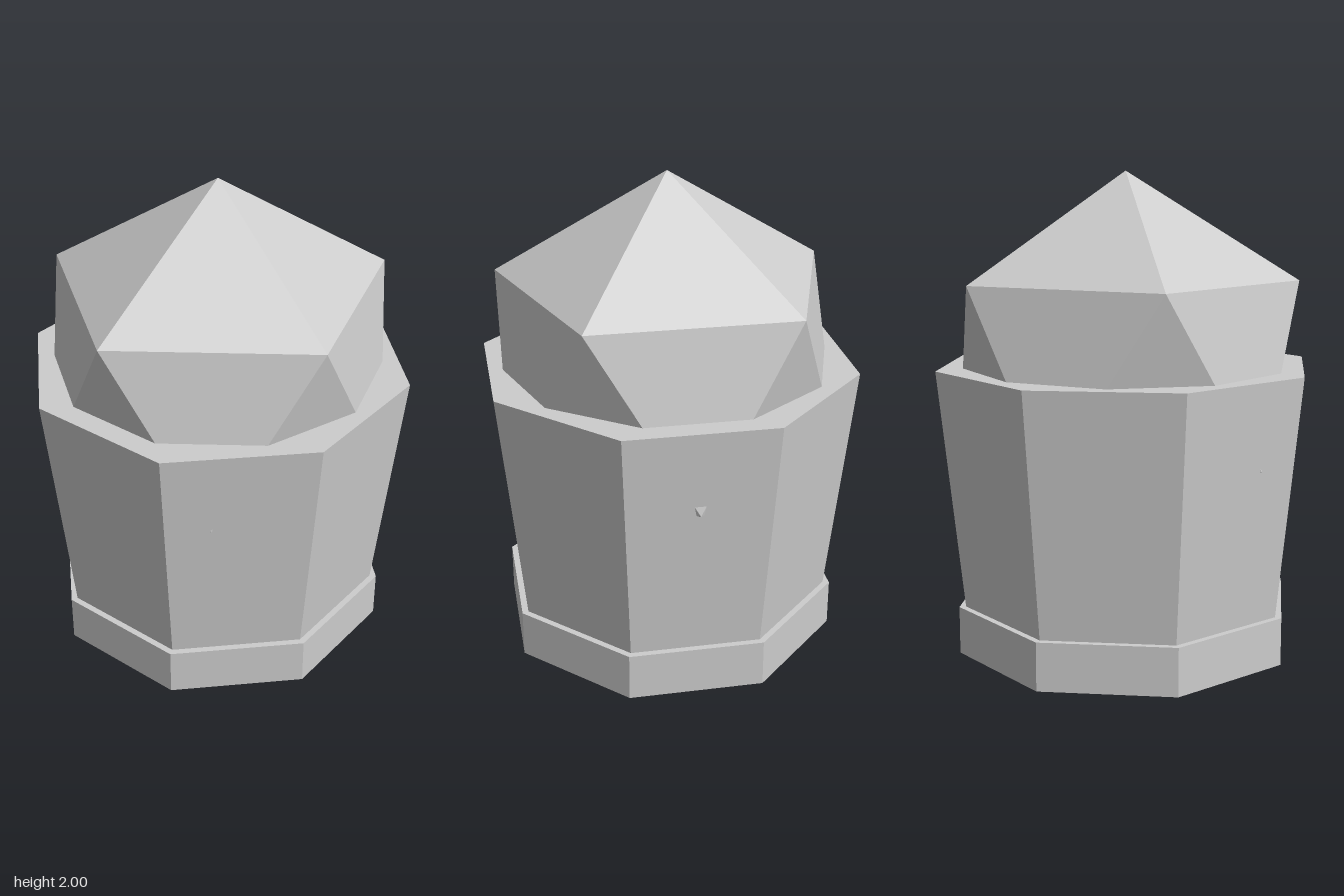
import * as THREE from 'three';

export function createModel() {
  const model = new THREE.Group();
  const stone = new THREE.MeshStandardMaterial({ color: 0xcccccc });
  stone.name = 'lightGrey';
  stone.flatShading = true;

  const add = (name, geometry, y) => {
    const mesh = new THREE.Mesh(geometry, stone);
    mesh.name = name;
    mesh.position.y = y;
    model.add(mesh);
  };

  // Eight-sided frustum with a flat side facing front
  const octagon = (top, bottom, height) =>
    new THREE.CylinderGeometry(top, bottom, height, 8).rotateY(Math.PI / 8);

  add('base', octagon(0.725, 0.725, 0.2), 0.1);
  add('body', octagon(0.802, 0.697, 1), 0.7);

  // Icosahedron standing on a corner, sunk halfway into the body;
  // its lower corners just pierce the body walls
  const phi = (1 + Math.sqrt(5)) / 2;
  const gem = new THREE.IcosahedronGeometry(0.802, 0)
    .rotateX(-Math.atan(phi))
    .rotateY(-Math.PI / 2);
  add('domeTop', gem, 1.198);

  return model;
}
